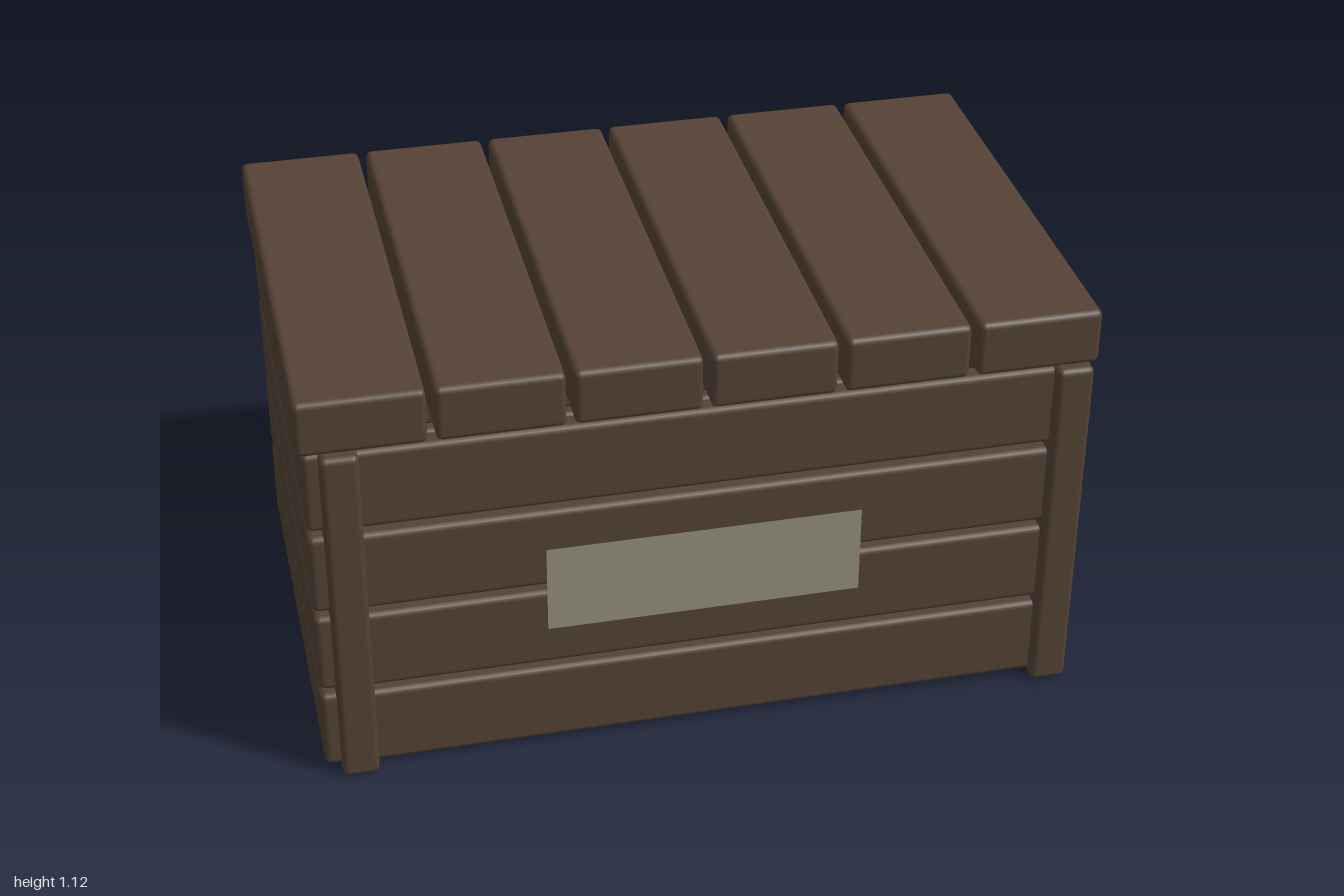
import * as THREE from 'three';
import { RoundedBoxGeometry } from 'three/addons/geometries/RoundedBoxGeometry.js';

export function createModel() {
  const crate = new THREE.Group();
  crate.name = 'crate';
  const wood = new THREE.MeshStandardMaterial({ color: 0x544234 });
  wood.name = 'dark brown wood';
  const paper = new THREE.MeshStandardMaterial({ color: 0x96907c, side: THREE.DoubleSide });
  paper.name = 'beige label';

  // Rounded board spanning the given limits on each axis
  function board(name, [x0, x1], [y0, y1], [z0, z1]) {
    const geometry = new RoundedBoxGeometry(x1 - x0, y1 - y0, z1 - z0, 2, 0.016);
    const mesh = new THREE.Mesh(geometry, wood);
    mesh.position.set((x0 + x1) / 2, (y0 + y1) / 2, (z0 + z1) / 2);
    mesh.name = name;
    crate.add(mesh);
  }

  // Lid: six boards running front to back
  for (let i = 0; i < 6; i++) {
    const x = -1 + i * 0.3367;
    board('lidBoard', [x, x + 0.3165], [0.972, 1.12], [-0.622, 0.622]);
  }

  // Walls: four rows of slats on every side, open underneath
  for (let row = 0; row < 4; row++) {
    const y = [0.013 + row * 0.242, 0.235 + row * 0.242];
    board('frontSlat', [-0.94, 0.95], y, [0.548, 0.608]);
    board('backSlat', [-0.94, 0.95], y, [-0.608, -0.548]);
    board('rightSlat', [0.923, 0.984], y, [-0.6, 0.6]);
    board('leftSlat', [-0.987, -0.926], y, [-0.6, 0.6]);
  }

  // Corner posts
  for (const z of [[0.546, 0.642], [-0.642, -0.546]]) {
    board('cornerPost', [-0.947, -0.853], [0, 0.97], z);
    board('cornerPost', [0.89, 0.985], [0, 0.97], z);
  }

  // Label on the front slats
  const label = new THREE.Mesh(new THREE.PlaneGeometry(0.81, 0.245), paper);
  label.position.set(0, 0.488, 0.613);
  label.name = 'label';
  crate.add(label);

  return crate;
}
